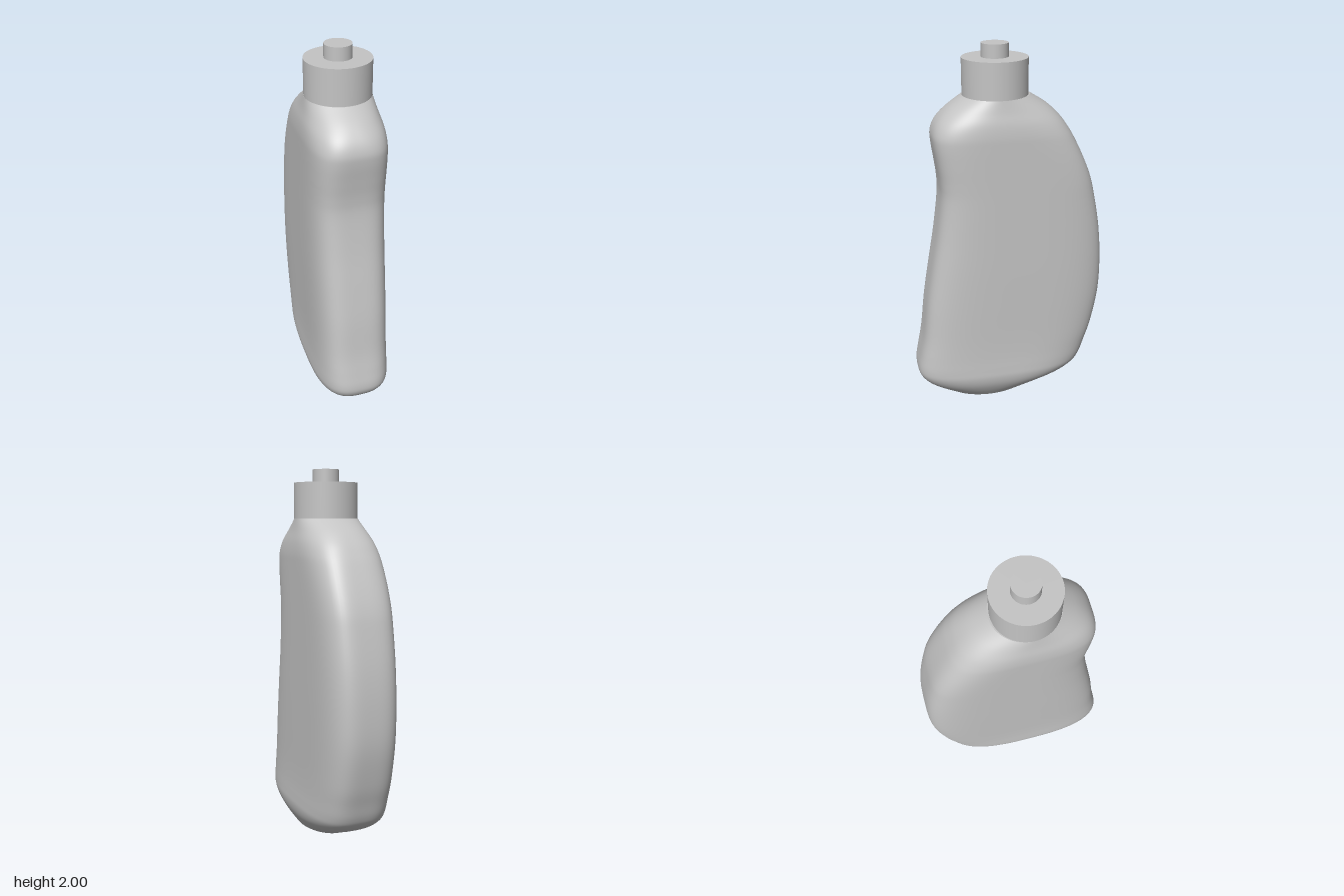
import * as THREE from 'three';

// Bottle sections: height, front z, back z, half width, squareness exponent
const SECTIONS = [
  [0.0, 0.35, -0.11, 0.14, 2],
  [0.05, 0.425, -0.22, 0.175, 2.4],
  [0.1, 0.49, -0.33, 0.2, 2.8],
  [0.15, 0.525, -0.395, 0.211, 3.2],
  [0.2, 0.53, -0.425, 0.21, 3.5],
  [0.28, 0.515, -0.45, 0.206, 3.8],
  [0.4, 0.492, -0.485, 0.204, 4],
  [0.6, 0.468, -0.52, 0.205, 4],
  [0.8, 0.435, -0.523, 0.206, 4],
  [1.0, 0.4, -0.505, 0.206, 4],
  [1.2, 0.374, -0.467, 0.206, 4],
  [1.3, 0.374, -0.44, 0.206, 4],
  [1.4, 0.386, -0.4, 0.206, 3.9],
  [1.5, 0.4, -0.352, 0.206, 3.6],
  [1.56, 0.4, -0.318, 0.205, 3.3],
  [1.62, 0.375, -0.275, 0.198, 2.9],
  [1.68, 0.32, -0.212, 0.184, 2.4],
  [1.74, 0.238, -0.118, 0.172, 2],
];
const SIDES = 96;
const STEPS = 5;
const CAP_Z = 0.062;

// Smooth interpolation of one section value
function smooth(a, b, c, d, t) {
  return 0.5 * (2 * b + (c - a) * t + (2 * a - 5 * b + 4 * c - d) * t * t
    + (3 * b - a - 3 * c + d) * t * t * t);
}

function bottleGeometry() {
  const pos = [], index = [];
  const last = SECTIONS.length - 1, rows = last * STEPS;
  for (let i = 0; i <= rows; i++) {
    const k = Math.min(Math.floor(i / STEPS), last - 1), t = i / STEPS - k;
    const at = (n) => SECTIONS[Math.max(0, Math.min(last, n))];
    const [y, front, back, half, n] = SECTIONS[0].map((_, c) =>
      smooth(at(k - 1)[c], at(k)[c], at(k + 1)[c], at(k + 2)[c], t));
    const depth = (front - back) / 2, mid = (front + back) / 2;
    for (let j = 0; j < SIDES; j++) {
      const a = (j / SIDES) * Math.PI * 2, c = Math.cos(a), s = Math.sin(a);
      const r = Math.pow(Math.abs(c) ** n + Math.abs(s) ** n, -1 / n);
      pos.push(half * r * c, y, mid + depth * r * s);
      if (i < rows) {
        const p = i * SIDES + j, q = i * SIDES + (j + 1) % SIDES;
        index.push(p, p + SIDES, q, q, p + SIDES, q + SIDES);
      }
    }
  }
  const g = new THREE.BufferGeometry();
  g.setAttribute('position', new THREE.Float32BufferAttribute(pos, 3));
  g.setIndex(index);
  g.computeVertexNormals();
  return g;
}

export function createModel() {
  const group = new THREE.Group();
  const grey = new THREE.MeshStandardMaterial({ color: 0xc4c4c4 });
  grey.name = 'light grey plastic';
  const add = (name, geometry, y, z) => {
    const mesh = new THREE.Mesh(geometry, grey);
    mesh.name = name;
    mesh.position.set(0, y, z);
    group.add(mesh);
    return mesh;
  };

  // Body with its flat oval foot and neck closure
  add('bottleBody', bottleGeometry(), 0, 0);
  const oval = (section) => new THREE.CircleGeometry(1, SIDES)
    .scale(section[3], (section[1] - section[2]) / 2, 1);
  const middle = (section) => (section[1] + section[2]) / 2;
  const foot = SECTIONS[0], neck = SECTIONS[SECTIONS.length - 1];
  add('bottleFoot', oval(foot).rotateX(Math.PI / 2), foot[0], middle(foot));
  add('neckTop', oval(neck).rotateX(-Math.PI / 2), neck[0], middle(neck));

  // Cap and its small spout
  add('cap', new THREE.CylinderGeometry(0.172, 0.172, 0.19, 64), 1.835, CAP_Z);
  add('spout', new THREE.CylinderGeometry(0.071, 0.071, 0.08, 48), 1.96, CAP_Z);
  return group;
}
